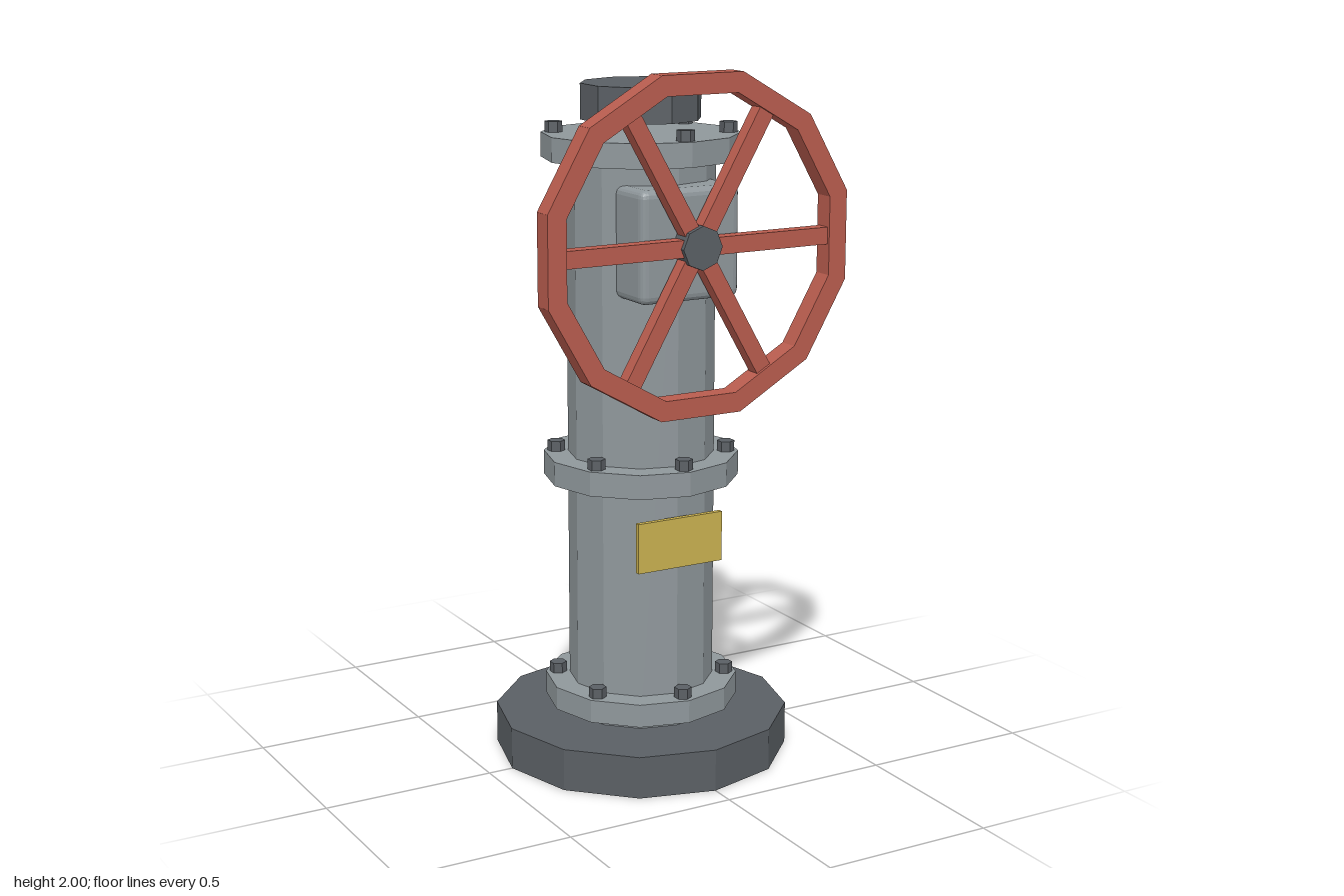
import * as THREE from 'three';
import { RoundedBoxGeometry } from 'three/addons/geometries/RoundedBoxGeometry.js';

function makeMaterial(name, color) {
  const m = new THREE.MeshStandardMaterial({ color, flatShading: true });
  m.name = name;
  return m;
}

export function createModel() {
  const grey = makeMaterial('paintedGrey', 0x8f979b);
  const dark = makeMaterial('darkIron', 0x5a5f64);
  const red = makeMaterial('wheelRed', 0xb85c4e);
  const yellow = makeMaterial('plateYellow', 0xc8b050);

  const model = new THREE.Group();
  model.name = 'valvePost';

  function add(name, geometry, material, x, y, z, parent = model) {
    const mesh = new THREE.Mesh(geometry, material);
    mesh.name = name;
    mesh.position.set(x, y, z);
    parent.add(mesh);
    return mesh;
  }

  // Upright cylinder between two heights
  function drum(name, radius, y0, y1, sides, material) {
    const geometry = new THREE.CylinderGeometry(radius, radius, y1 - y0, sides);
    return add(name, geometry, material, 0, (y0 + y1) / 2, 0);
  }

  // Foot, column and the cap held just above it
  drum('base', 0.427, 0, 0.122, 12, dark);
  drum('column', 0.21, 0.122, 1.8, 12, grey);
  drum('topCap', 0.172, 1.85, 1.95, 10, dark);

  // Bolted flanges
  const boltGeometry = new THREE.CylinderGeometry(0.025, 0.025, 0.04, 6);
  [[0.153, 0.22], [0.825, 0.895], [1.743, 1.812]].forEach(([y0, y1]) => {
    drum('flange', 0.28, y0, y1, 12, grey);
    for (let i = 0; i < 6; i++) {
      const a = i * Math.PI / 3;
      add('flangeBolt', boltGeometry, dark, 0.244 * Math.sin(a), y1 + 0.01, 0.244 * Math.cos(a));
    }
  });

  // Gearbox on the front and nameplate
  add('gearbox', new RoundedBoxGeometry(0.31, 0.312, 0.16, 2, 0.022), grey, 0, 1.533, 0.2);
  add('nameplate', new THREE.BoxGeometry(0.272, 0.145, 0.015), yellow, 0, 0.677, 0.22);

  // Handwheel: rim of straight bars, six spokes and a hub
  const wheel = new THREE.Group();
  wheel.name = 'handwheel';
  wheel.position.set(0, 1.533, 0.306);
  model.add(wheel);

  const rimGeometry = new THREE.BoxGeometry(0.25, 0.056, 0.06);
  for (let i = 0; i < 12; i++) {
    const a = i * Math.PI / 6;
    const bar = add('rimBar', rimGeometry, red, -0.439 * Math.sin(a), 0.439 * Math.cos(a), 0, wheel);
    bar.rotation.z = a;
  }
  const spokeGeometry = new THREE.BoxGeometry(0.42, 0.048, 0.042);
  for (let i = 0; i < 6; i++) {
    const a = i * Math.PI / 3;
    const spoke = add('spoke', spokeGeometry, red, 0.21 * Math.cos(a), 0.21 * Math.sin(a), 0, wheel);
    spoke.rotation.z = a;
  }
  const hub = add('hub', new THREE.CylinderGeometry(0.061, 0.061, 0.07, 8), dark, 0, 0, 0, wheel);
  hub.rotation.x = Math.PI / 2;

  return model;
}
